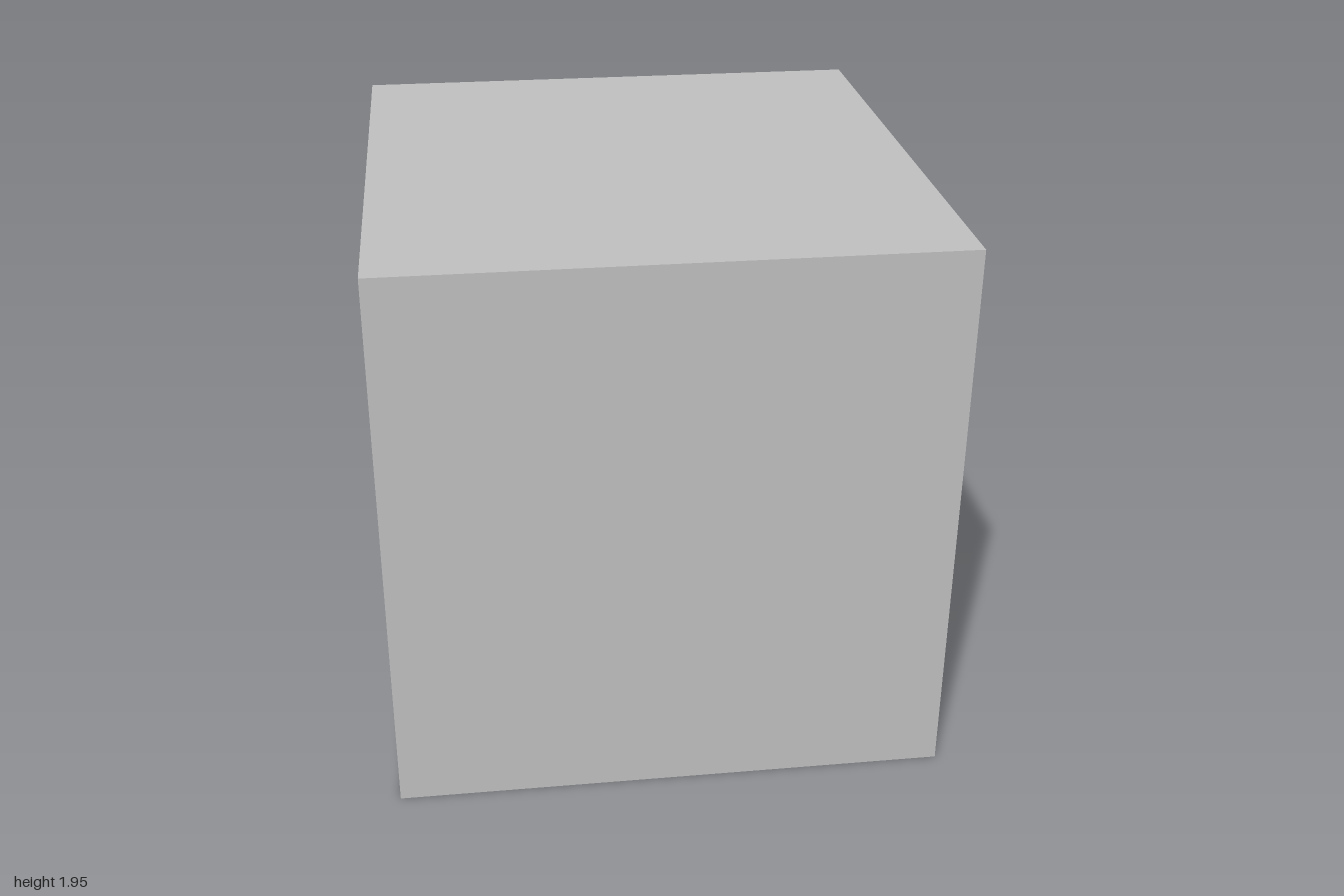
import * as THREE from 'three';
import { toCreasedNormals } from 'three/addons/utils/BufferGeometryUtils.js';

const HALF_X = 0.95, HEIGHT = 1.95, PLATE = 0.235;
const BORE_Z = -0.26, BORE_Y = 0.91;

// Profile points are given as (z, y); the extrusion runs along x.
const pt = (z, y) => new THREE.Vector2(-z, y);

const outline = () => new THREE.Shape([pt(1, 0), pt(-1, 0), pt(-1, HEIGHT), pt(1, HEIGHT)]);

function bore(radius, sides = 18) {
  const points = [];
  for (let i = 0; i < sides; i++) {
    const a = (i / sides) * Math.PI * 2;
    points.push(pt(BORE_Z + radius * Math.cos(a), BORE_Y + radius * Math.sin(a)));
  }
  return new THREE.Path(points);
}

function extrudeX(shapes, x0, x1) {
  const geo = new THREE.ExtrudeGeometry(shapes, { depth: x1 - x0, bevelEnabled: false });
  geo.rotateY(Math.PI / 2);
  geo.translate(x0, 0, 0);
  return toCreasedNormals(geo, 0.5);
}

// Groove corner; each arm is drawn as [distance along arm, distance inward].
const CORNER_Z = 0.81, CORNER_Y = 1.755, GROOVE = 0.068;
const topArm = ([a, b]) => pt(CORNER_Z - a, CORNER_Y - b);
const sideArm = ([a, b]) => pt(CORNER_Z - b, CORNER_Y - a);

// One arm from its far end, past two short prongs, to the diagonal slot.
function armPoints(length) {
  const g = GROOVE, h = 0.145;
  return [
    [length, 0], [length, h], [length - 0.065, h], [length - 0.065, g],
    [length - 0.14, g], [length - 0.14, h], [length - 0.205, h], [length - 0.205, g],
    [0.95 - g, g],
  ];
}

export function createModel() {
  const model = new THREE.Group();
  model.name = 'boredBlock';
  const grey = new THREE.MeshStandardMaterial({ color: 0xc0c0c0 });
  grey.name = 'plain grey';

  const add = (name, geo) => {
    const mesh = new THREE.Mesh(geo, grey);
    mesh.name = name;
    model.add(mesh);
  };

  // Main block with the wide bore and the L-shaped groove with its diagonal slot
  const body = outline();
  const groove = new THREE.Path([
    topArm([0, 0]),
    ...armPoints(1.62).map(topArm),
    ...armPoints(1.56).reverse().map(sideArm),
  ]);
  body.holes.push(bore(0.605), groove);
  add('blockBody', extrudeX(body, -HALF_X, HALF_X - PLATE));

  // Triangular island left standing between the groove arms and the slot
  const inner = 0.865 - GROOVE;
  const island = new THREE.Shape([
    topArm([GROOVE, GROOVE]), topArm([inner, GROOVE]), sideArm([inner, GROOVE]),
  ]);
  add('cornerIsland', extrudeX(island, -HALF_X, HALF_X - PLATE));

  // End wall with the narrow bore
  const wall = outline();
  wall.holes.push(bore(0.238));
  add('endWall', extrudeX(wall, HALF_X - PLATE, HALF_X));

  return model;
}
